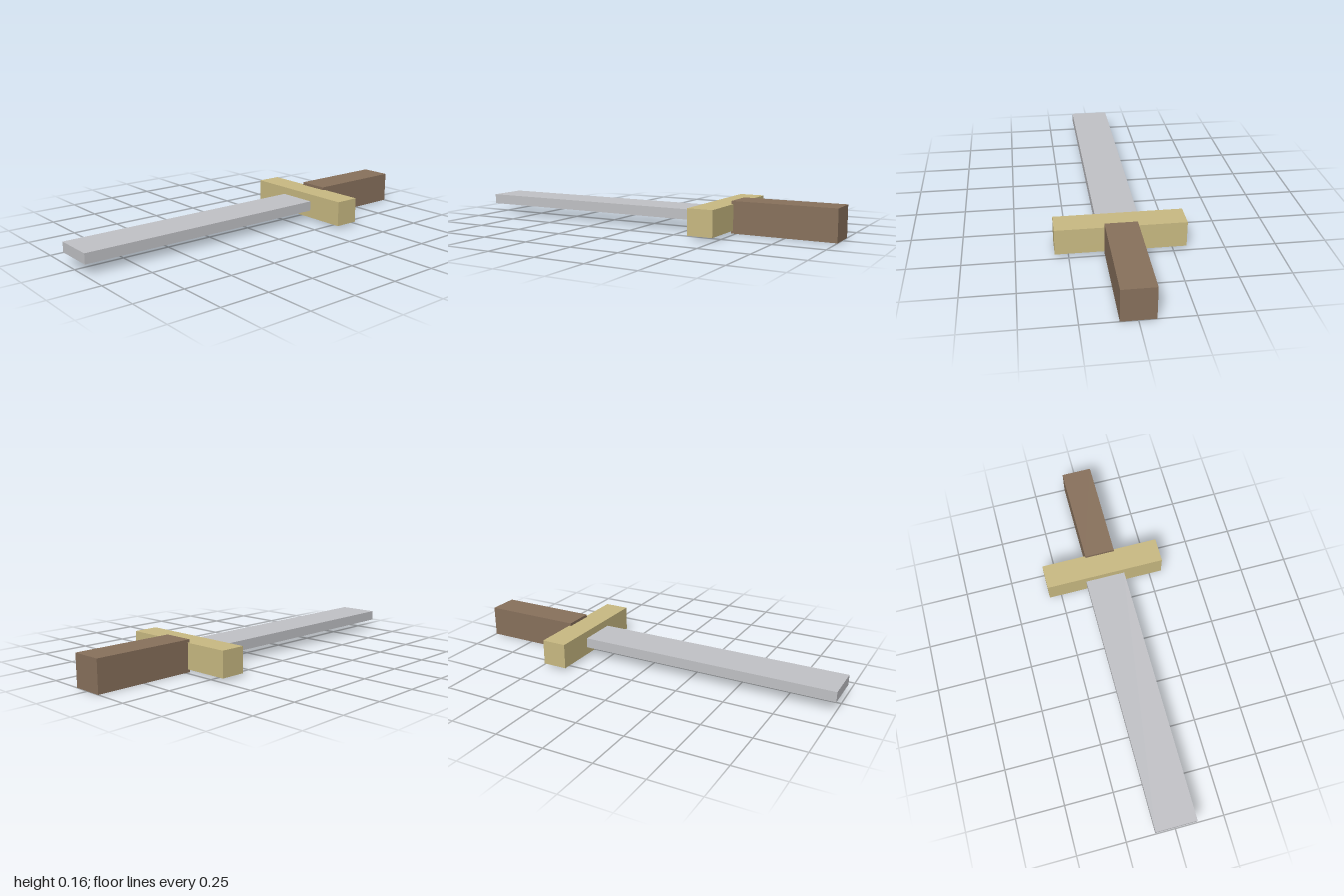
import * as THREE from 'three';

const material = (name, color) => {
  const m = new THREE.MeshStandardMaterial({ color });
  m.name = name;
  return m;
};

// Box spanning back to front along z, centred on x
function bar(name, mat, width, [bottom, top], [back, front]) {
  const mesh = new THREE.Mesh(new THREE.BoxGeometry(width, top - bottom, front - back), mat);
  mesh.position.set(0, (bottom + top) / 2, (back + front) / 2);
  mesh.name = name;
  return mesh;
}

export function createModel() {
  const sword = new THREE.Group();
  sword.name = 'sword';
  const steel = material('steel', 0xc1c2c6);
  const brass = material('brass', 0xc9ba82);
  const wood = material('wood', 0x88715c);

  sword.add(
    bar('blade', steel, 0.21, [0.054, 0.106], [-0.37, 1]),
    bar('crossguard', brass, 0.63, [0.015, 0.145], [-0.486, -0.356]),
    bar('grip', wood, 0.158, [0, 0.16], [-1, -0.475]),
  );
  return sword;
}
